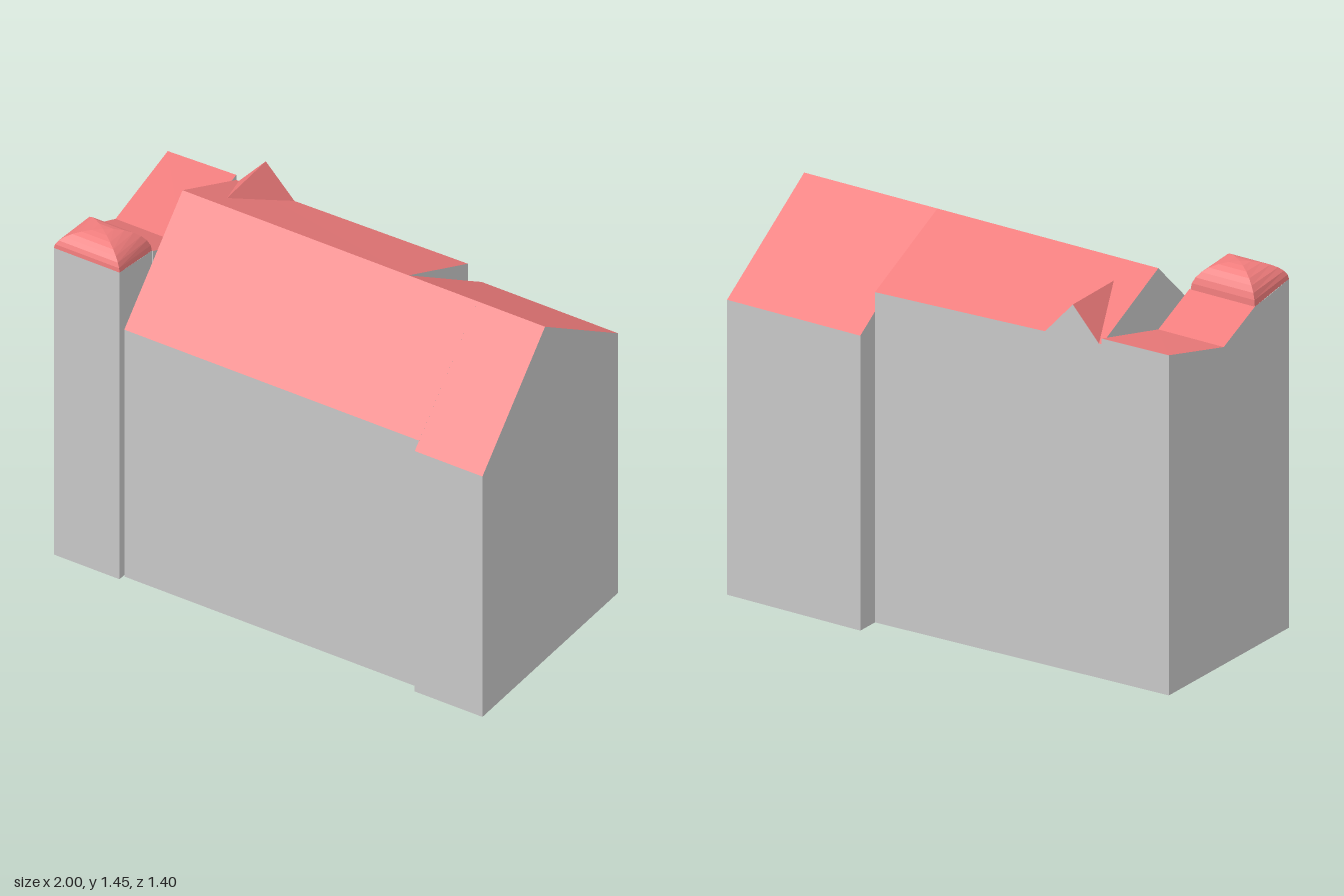
import * as THREE from 'three';

const wallMat = new THREE.MeshStandardMaterial({ color: 0xcccccc, flatShading: true });
const roofMat = new THREE.MeshStandardMaterial({ color: 0xf07c7c, flatShading: true });

// Mesh from a list of polygons, each fanned from its first corner
function polyMesh(name, polys, material) {
  const pos = [];
  for (const p of polys)
    for (let i = 1; i < p.length - 1; i++) pos.push(...p[0], ...p[i], ...p[i + 1]);
  const geo = new THREE.BufferGeometry();
  geo.setAttribute('position', new THREE.Float32BufferAttribute(pos, 3));
  geo.computeVertexNormals();
  const mesh = new THREE.Mesh(geo, material);
  mesh.name = name;
  return mesh;
}

// Cross-section (z, y): back wall, back eave, fold, front eave, front wall
const section = (zBack, yBack, zFold, yFold, zFront, yFront) =>
  [[zBack, 0], [zBack, yBack], [zFold, yFold], [zFront, yFront], [zFront, 0]];

// A block between two cross-sections, with grey walls and a red roof
function block(name, x0, s0, x1, s1, withRoof = true) {
  const A = s0.map(([z, y]) => [x0, y, z]);
  const B = s1.map(([z, y]) => [x1, y, z]);
  const quad = (i) => {
    const j = (i + 1) % 5;
    return [A[i], A[j], B[j], B[i]];
  };
  const group = new THREE.Group();
  group.name = name;
  // Ends are fanned from the fold, which sees every other corner
  const endA = [A[2], A[1], A[0], A[4], A[3]];
  const endB = [B[2], B[3], B[4], B[0], B[1]];
  group.add(polyMesh(name + 'Walls', [quad(0), quad(3), quad(4), endA, endB], wallMat));
  if (withRoof) group.add(polyMesh(name + 'Roof', [quad(1), quad(2)], roofMat));
  return group;
}

// Curved four-sided roof of the corner tower
function domeRoof(x0, x1, z0, z1, yBack, yFront, yTop) {
  const steps = 7;
  const cx = (x0 + x1) / 2, cz = (z0 + z1) / 2;
  const corners = [[x0, z0, yBack], [x0, z1, yFront], [x1, z1, yFront], [x1, z0, yBack]];
  const ring = (k) => {
    const t = (k / steps) * Math.PI / 2;
    const s = Math.cos(t), h = Math.sin(t);
    return corners.map(([x, z, y]) => [cx + (x - cx) * s, y + (yTop - y) * h, cz + (z - cz) * s]);
  };
  const polys = [];
  for (let k = 0; k < steps; k++) {
    const lo = ring(k), hi = ring(k + 1);
    for (let i = 0; i < 4; i++) {
      const j = (i + 1) % 4;
      polys.push(k === steps - 1 ? [lo[i], lo[j], hi[i]] : [lo[i], lo[j], hi[j], hi[i]]);
    }
  }
  return polyMesh('towerRoof', polys, roofMat);
}

export function createModel() {
  const house = new THREE.Group();
  house.name = 'house';

  // Main gabled body; its back wall is slightly skewed
  const ridge = [-0.027, 1.447];
  house.add(block('mainBody',
    -0.645, section(-0.377, 1.278, ...ridge, 0.353, 1.073),
    0.3, section(-0.413, 1.262, ...ridge, 0.353, 1.073)));

  // Wider end: steps out at the back first, then at the front
  const middle = section(-0.504, 1.127, ...ridge, 0.353, 1.073);
  const end = section(-0.504, 1.127, ...ridge, 0.381, 1.045);
  house.add(block('middleBay', 0.3, middle, 0.587, middle));
  house.add(block('endBay', 0.587, end, 0.87, end));

  // Low wing with a valley roof
  const wing = section(-0.367, 1.3, -0.027, 1.213, 0.165, 1.3);
  const wingEnd = section(-0.377, 1.3, -0.027, 1.213, 0.165, 1.3);
  house.add(block('lowWing', -0.925, wing, -0.645, wingEnd));

  // Corner tower
  const tower = section(0.165, 1.3, 0.27, 1.315, 0.376, 1.333);
  house.add(block('tower', -0.925, tower, -0.65, tower, false));
  house.add(domeRoof(-0.925, -0.65, 0.165, 0.376, 1.3, 1.333, 1.405));

  // Dormer on the back slope
  const left = [-0.634, 1.278, -0.378], right = [-0.408, 1.273, -0.387];
  const peak = [-0.525, 1.403, -0.382], inner = [-0.521, 1.403, -0.123];
  house.add(polyMesh('dormerFront', [[left, peak, right]], wallMat));
  house.add(polyMesh('dormerRoof', [[left, inner, peak], [right, peak, inner]], roofMat));

  // The whole house stands turned on its plot
  house.rotation.y = -0.4075;
  const model = new THREE.Group();
  model.name = 'building';
  model.add(house);
  return model;
}
